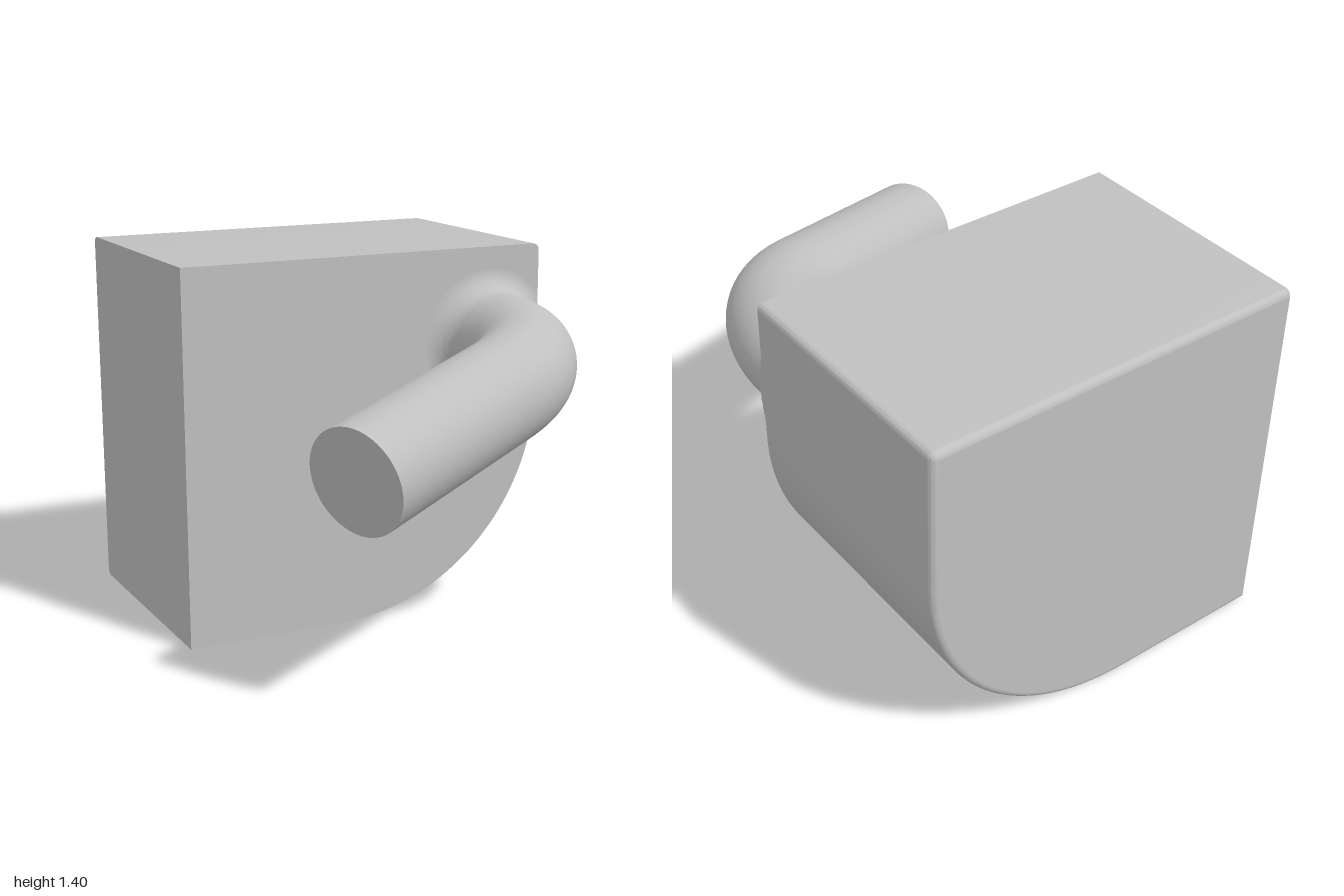
import * as THREE from 'three';
import { toCreasedNormals } from 'three/addons/utils/BufferGeometryUtils.js';

const SIDE = 0.727, TOP = 1.4, FRONT = -0.04, BACK = -1;
const EDGE = 0.025;                 // small rounding of the block
const R = 0.19, BEND = 0.48;        // bar radius and bend radius
const ROOT = new THREE.Vector3(0.51, 1.04, FRONT);
const CORNER = new THREE.Vector3(0.51, 1.04, 0.394);
const END = new THREE.Vector3(-0.482, 0.82, 0.823);

// Block outline, counterclockwise from the front; the flat left side is never inset
function outline(d) {
  const pts = [];
  const add = (x, y) => pts.push(new THREE.Vector2(x, y));
  const arc = (cx, cy, r, a0, a1, n) => {
    for (let i = 0; i <= n; i++) {
      const a = a0 + (a1 - a0) * i / n;
      add(cx + r * Math.cos(a), cy + r * Math.sin(a));
    }
  };
  add(-SIDE, d);
  arc(SIDE - 0.85, 0.85, 0.85 - d, -Math.PI / 2, 0, 48);
  const c = EDGE + 0.001;
  add(SIDE - d, TOP - c - 0.003);
  arc(SIDE - c, TOP - c, c - d, 0, Math.PI / 2, 6);
  add(SIDE - c - 0.003, TOP - d);
  add(-SIDE, TOP - d);
  return pts;
}

// Skin through outlines from front to back, rounded at the back edge
function blockWall() {
  const layers = [[FRONT, 0], [BACK + EDGE + 0.003, 0]];
  for (let i = 0; i <= 6; i++) {
    const a = i / 6 * Math.PI / 2;
    layers.push([BACK + EDGE * (1 - Math.sin(a)), EDGE * (1 - Math.cos(a))]);
  }
  const pos = [], idx = [];
  let n = 0;
  layers.forEach(([z, d], k) => {
    const pts = outline(d);
    n = pts.length;
    pts.forEach(p => pos.push(p.x, p.y, z));
    if (k === 0) return;
    for (let j = 0; j < n; j++) {
      const a = (k - 1) * n + j, b = (k - 1) * n + (j + 1) % n;
      idx.push(a, a + n, b, b, a + n, b + n);
    }
  });
  const g = new THREE.BufferGeometry();
  g.setAttribute('position', new THREE.Float32BufferAttribute(pos, 3));
  g.setIndex(idx);
  return toCreasedNormals(g, 0.5);
}

// Straight, circular bend, straight
class BarPath extends THREE.Curve {
  constructor() {
    super();
    this.u = CORNER.clone().sub(ROOT).normalize();
    this.v = END.clone().sub(CORNER).normalize();
    this.angle = this.u.angleTo(this.v);
    const t = BEND * Math.tan(this.angle / 2);
    this.l1 = ROOT.distanceTo(CORNER) - t;
    this.l2 = BEND * this.angle;
    this.l3 = CORNER.distanceTo(END) - t;
    this.side = this.v.clone().addScaledVector(this.u, -this.u.dot(this.v)).normalize();
  }
  getPoint(t, out = new THREE.Vector3()) {
    const s = t * (this.l1 + this.l2 + this.l3);
    if (s > this.l1 + this.l2) return out.copy(END).addScaledVector(this.v, s - this.l1 - this.l2 - this.l3);
    out.copy(ROOT).addScaledVector(this.u, Math.min(s, this.l1));
    const a = Math.max(0, s - this.l1) / BEND;
    return out.addScaledVector(this.u, BEND * Math.sin(a)).addScaledVector(this.side, BEND * (1 - Math.cos(a)));
  }
}

// Flared foot of the bar, cut off flush with the block's side
function flare() {
  const f = 0.085, pts = [];
  for (let i = 0; i <= 14; i++) {
    const a = i / 14 * Math.PI / 2;
    pts.push(new THREE.Vector2(R + f - f * Math.sin(a), FRONT + f - f * Math.cos(a)));
  }
  const g = new THREE.LatheGeometry(pts, 96);
  g.rotateX(Math.PI / 2).translate(ROOT.x, ROOT.y, 0);
  const p = g.attributes.position;
  for (let i = 0; i < p.count; i++) p.setX(i, Math.min(p.getX(i), SIDE));
  return toCreasedNormals(g, 0.4);
}

export function createModel() {
  const model = new THREE.Group();
  model.name = 'blockWithBentBar';
  const grey = new THREE.MeshStandardMaterial({ color: 0xc0c0c0 });
  grey.name = 'light grey';
  const part = (name, geometry, parent) => {
    const m = new THREE.Mesh(geometry, grey);
    m.name = name;
    parent.add(m);
    return m;
  };

  // Block with one large rounded corner
  const block = new THREE.Group();
  block.name = 'block';
  model.add(block);
  part('blockWall', blockWall(), block);
  part('blockFront', new THREE.ShapeGeometry(new THREE.Shape(outline(0))), block).position.z = FRONT;
  const back = new THREE.ShapeGeometry(new THREE.Shape(outline(EDGE).map(p => p.setX(-p.x)).reverse()));
  part('blockBack', back.rotateY(Math.PI), block).position.z = BACK;

  // Bent round bar with its foot and end face
  const bar = new THREE.Group();
  bar.name = 'bar';
  model.add(bar);
  const path = new BarPath();
  part('barTube', new THREE.TubeGeometry(path, 96, R, 64), bar);
  part('barFoot', flare(), bar);
  const cap = part('barEnd', new THREE.CircleGeometry(R, 64), bar);
  cap.position.copy(END);
  cap.quaternion.setFromUnitVectors(new THREE.Vector3(0, 0, 1), path.v);
  return model;
}
